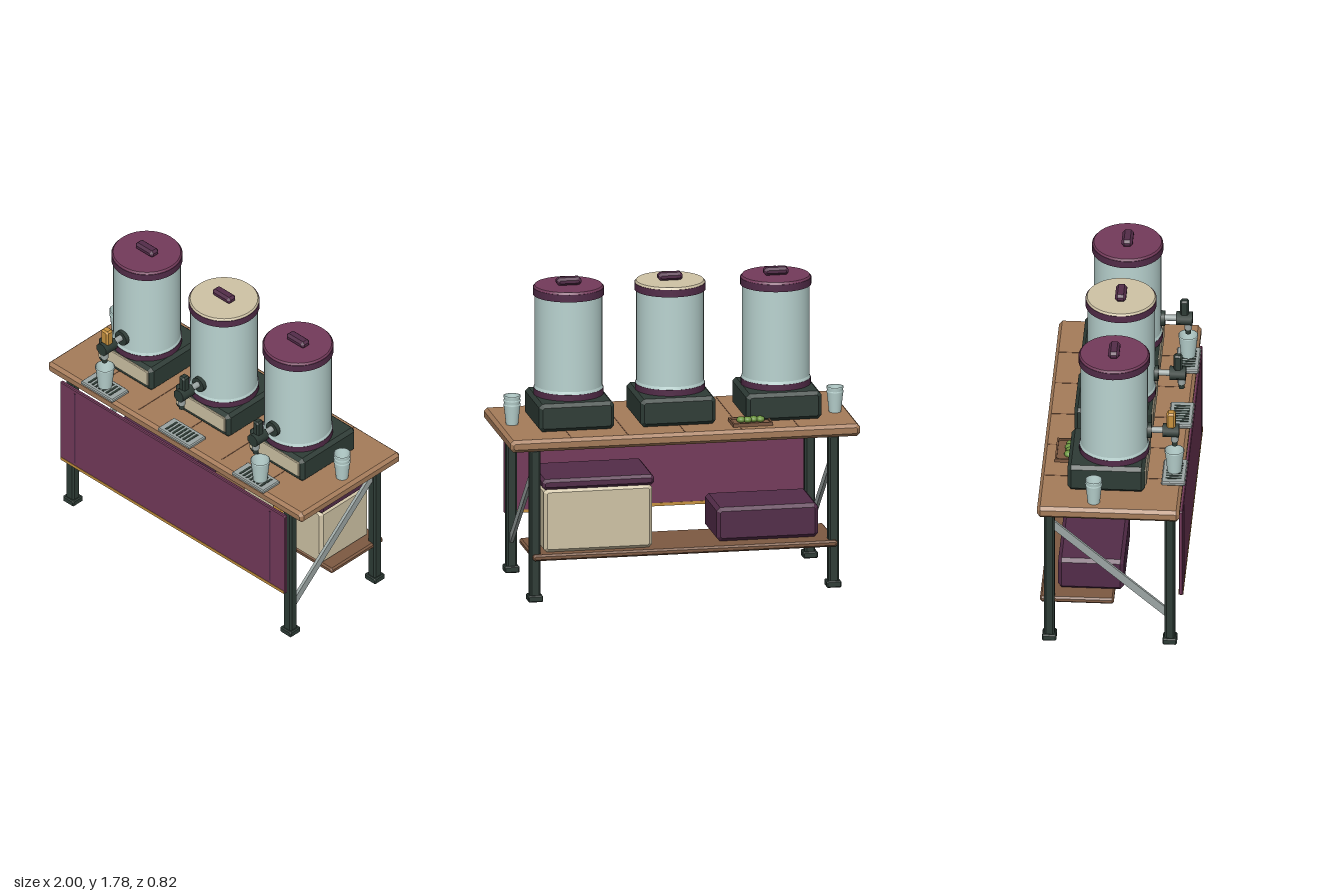
import * as THREE from 'three';

const mat = (name, color) => {
  const m = new THREE.MeshStandardMaterial({ color });
  m.name = name;
  return m;
};
const M = {
  purple: mat('purple', 0x743a5b), plum: mat('darkPlum', 0x532c49),
  dark: mat('darkGreen', 0x2e3c36), cream: mat('cream', 0xd0c4a6),
  glass: mat('paleAqua', 0xbad4d1), grey: mat('steelGrey', 0x9ca6a4),
  ochre: mat('ochre', 0xc8933f), lime: mat('leafGreen', 0x6b943e),
  wood: mat('wood', 0xa67c5a), darkWood: mat('darkWood', 0x7e5a42),
};
M.glass.side = THREE.DoubleSide;

export function createModel() {
  const model = new THREE.Group();
  model.name = 'drinkStand';

  const add = (parent, name, geo, material, x = 0, y = 0, z = 0) => {
    const mesh = new THREE.Mesh(geo, material);
    mesh.name = name;
    mesh.position.set(x, y, z);
    parent.add(mesh);
    return mesh;
  };
  const group = (name, x = 0, y = 0, z = 0) => {
    const g = new THREE.Group();
    g.name = name;
    g.position.set(x, y, z);
    model.add(g);
    return g;
  };
  const box = (w, h, d) => new THREE.BoxGeometry(w, h, d);
  // Box with every edge chamfered by c
  const chamfer = (w, h, d, c) => {
    const a = w / 2 - c, b = h / 2 - c, k = c * 0.414;
    const s = new THREE.Shape([[a, -b + k], [a, b - k], [a - k, b], [-a + k, b],
      [-a, b - k], [-a, -b + k], [-a + k, -b], [a - k, -b]].map(p => new THREE.Vector2(...p)));
    const g = new THREE.ExtrudeGeometry(s, {
      depth: d - 2 * c, bevelEnabled: true, bevelSegments: 1, bevelSize: c, bevelThickness: c,
    });
    return g.translate(0, 0, -d / 2 + c);
  };
  const cyl = (r1, r2, h, n = 40) => new THREE.CylinderGeometry(r1, r2, h, n);
  const zCyl = (r, h, n = 16) => cyl(r, r, h, n).rotateX(Math.PI / 2);

  // Table top with plank seams
  add(model, 'tableTop', chamfer(2, 0.07, 0.8, 0.018), M.wood, 0, 0.91, -0.01);
  for (let i = -2; i <= 2; i++)
    add(model, 'plankSeam', box(0.006, 0.004, 0.73), M.darkWood, i * 0.325, 0.945, -0.025);

  // Legs, feet and diagonal braces
  for (const s of [-1, 1]) {
    for (const z of [0.33, -0.347]) {
      add(model, 'leg', chamfer(0.06, 0.87, 0.058, 0.01), M.dark, s * 0.853, 0.445, z);
      add(model, 'foot', chamfer(0.084, 0.038, 0.08, 0.006), M.dark, s * 0.853, 0.019, z);
    }
    const brace = add(model, 'brace', box(0.018, 0.045, 0.86), M.grey, s * 0.855, 0.475, -0.01);
    brace.rotation.x = Math.atan2(0.55, 0.63);
  }

  // Front panel with seams and hem
  add(model, 'frontPanel', chamfer(1.765, 0.55, 0.022, 0.005), M.purple, 0, 0.6, 0.392);
  add(model, 'panelHem', box(1.75, 0.018, 0.027), M.ochre, 0, 0.333, 0.392);
  for (const s of [-1, 1])
    add(model, 'panelSeam', box(0.01, 0.49, 0.004), M.plum, s * 0.765, 0.605, 0.404);

  // Lower shelf
  add(model, 'shelf', chamfer(1.74, 0.036, 0.415, 0.01), M.darkWood, 0, 0.258, -0.193);

  // Cool box on the shelf
  const cooler = group('coolBox', 0.49, 0, -0.165);
  add(cooler, 'coolBoxBody', chamfer(0.62, 0.365, 0.385, 0.018), M.cream, 0, 0.459, 0);
  add(cooler, 'coolBoxLid', chamfer(0.64, 0.06, 0.4, 0.016), M.plum, 0, 0.67, 0);
  add(cooler, 'coolBoxLatch', chamfer(0.08, 0.075, 0.04, 0.01), M.ochre, 0, 0.548, 0.21);

  // Storage crate on the shelf
  add(model, 'crate', chamfer(0.58, 0.195, 0.37, 0.02), M.plum, -0.49, 0.374, -0.12);

  // Dispenser: base, tank, lid and tap
  const dispenser = (x, lidMat, leverMat, leverW) => {
    const g = group('dispenser', x);
    add(g, 'base', chamfer(0.43, 0.16, 0.435, 0.02), M.dark, 0, 1.025, -0.033);
    add(g, 'basePanel', chamfer(0.385, 0.1, 0.02, 0.004), M.cream, 0, 1.035, 0.184);
    add(g, 'tankFoot', cyl(0.197, 0.197, 0.04), M.plum, 0, 1.12);
    add(g, 'tank', cyl(0.19, 0.19, 0.53), M.glass, 0, 1.415);
    add(g, 'tankBead', cyl(0.19, 0.195, 0.016), M.glass, 0, 1.148);
    add(g, 'lidRim', cyl(0.2, 0.2, 0.042), M.plum, 0, 1.699);
    add(g, 'lid', cyl(0.19, 0.197, 0.012), lidMat, 0, 1.726);
    add(g, 'lidKnob', chamfer(0.14, 0.045, 0.062, 0.014), M.plum, 0, 1.753);
    add(g, 'tapCollar', zCyl(0.045, 0.024), M.dark, 0, 1.23, 0.199);
    add(g, 'tapPipe', zCyl(0.018, 0.1), M.grey, 0, 1.235, 0.235);
    add(g, 'tapBody', zCyl(0.04, 0.092, 8).rotateZ(Math.PI / 8), M.dark, 0, 1.235, 0.319);
    add(g, 'tapLever', chamfer(leverW, 0.1, 0.05, 0.01), leverMat, 0, 1.307, 0.32);
    add(g, 'spoutCollar', cyl(0.022, 0.022, 0.04, 12), M.grey, 0, 1.188, 0.34);
    add(g, 'spout', cyl(0.018, 0.016, 0.05, 12), M.dark, 0, 1.163, 0.34);
    // Drip tray with slots
    add(g, 'dripTray', chamfer(0.25, 0.024, 0.135, 0.006), M.grey, 0, 0.956, 0.339);
    for (let i = -3; i <= 3; i++)
      add(g, 'dripSlot', box(0.014, 0.004, 0.09), M.dark, i * 0.027, 0.968, 0.339);
  };
  dispenser(-0.595, M.purple, M.ochre, 0.056);
  dispenser(0.01, M.cream, M.dark, 0.045);
  dispenser(0.59, M.purple, M.dark, 0.045);

  // Open tapered cups, single or stacked
  const cup = (name, x, y, z, r, h) => {
    const pts = [[0, 0.004], [r * 0.72, 0.004], [r * 0.72, 0], [r * 0.96, h - 0.01], [r, h - 0.01], [r, h], [r * 0.93, h]]
      .map(p => new THREE.Vector2(...p));
    add(model, name, new THREE.LatheGeometry(pts, 24), M.glass, x, y, z);
  };
  cup('servedCup', -0.593, 0.97, 0.338, 0.056, 0.135);
  cup('servedCup', 0.625, 0.97, 0.338, 0.056, 0.135);
  for (let i = 0; i < 3; i++) cup('stackedCup', 0.917, 0.945 + i * 0.025, -0.02, 0.048, 0.117);
  for (let i = 0; i < 2; i++) cup('stackedCup', -0.915, 0.945 + i * 0.025, -0.095, 0.048, 0.122);

  // Garnish tray with green fruit
  const tray = group('garnishTray', -0.398, 0.945, -0.265);
  add(tray, 'trayBottom', box(0.22, 0.01, 0.145), M.darkWood, 0, 0.005);
  for (const s of [-1, 1]) {
    add(tray, 'traySide', box(0.01, 0.02, 0.15), M.darkWood, s * 0.108, 0.01);
    add(tray, 'trayEdge', box(0.225, 0.02, 0.01), M.darkWood, 0, 0.01, s * 0.07);
  }
  for (let i = 0; i < 4; i++) {
    const fruit = add(tray, 'greenFruit', new THREE.SphereGeometry(0.026, 14, 10), M.lime,
      -0.055 + i * 0.036, 0.022, (i % 2) * 0.006);
    fruit.scale.y = 0.7;
  }
  return model;
}
